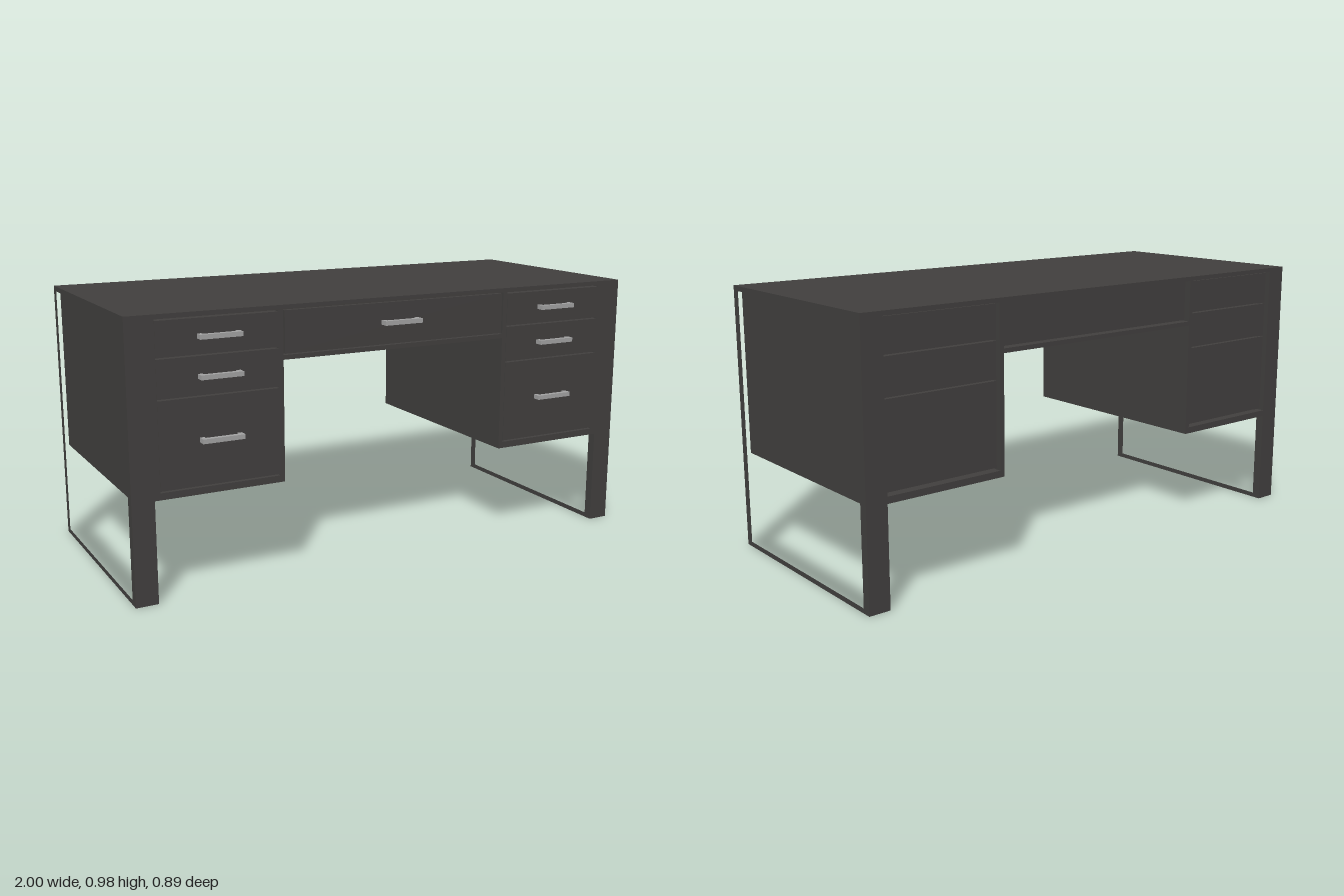
import * as THREE from 'three';

const FRONT = 0.413, BACK = -0.445;
const dark = new THREE.MeshStandardMaterial({ color: 0x403e3d });
const metal = new THREE.MeshStandardMaterial({ color: 0xa0a0a0 });

// Box given by its lower and upper corners
function block(parent, name, [x0, x1], [y0, y1], [z0, z1], material = dark) {
  const mesh = new THREE.Mesh(new THREE.BoxGeometry(x1 - x0, y1 - y0, z1 - z0), material);
  mesh.position.set((x0 + x1) / 2, (y0 + y1) / 2, (z0 + z1) / 2);
  mesh.name = name;
  parent.add(mesh);
  return mesh;
}

// U-shaped pull: a bar on two short stems
function addHandle(parent, x, y) {
  const handle = new THREE.Group();
  handle.name = 'handle';
  block(handle, 'handleBar', [-0.075, 0.075], [-0.008, 0.008], [0.427, 0.445], metal);
  for (const s of [-1, 1]) {
    const c = s * 0.067;
    block(handle, 'handleStem', [c - 0.008, c + 0.008], [-0.008, 0.008], [FRONT, 0.427], metal);
  }
  handle.position.set(x, y, 0);
  parent.add(handle);
}

// Closed rectangular leg frame, extruded across its width
function addLegFrame(parent, side) {
  const outline = new THREE.Shape([[BACK, 0], [FRONT, 0], [FRONT, 0.975], [BACK, 0.975]]
    .map(([z, y]) => new THREE.Vector2(-z, y)));
  outline.holes.push(new THREE.Path([[-0.412, 0.018], [0.38, 0.018], [0.38, 0.957], [-0.412, 0.957]]
    .map(([z, y]) => new THREE.Vector2(-z, y))));
  const geometry = new THREE.ExtrudeGeometry(outline, { depth: 0.08, bevelEnabled: false });
  geometry.rotateY(Math.PI / 2);
  const frame = new THREE.Mesh(geometry, dark);
  frame.position.x = side > 0 ? 0.92 : -1;
  frame.name = 'legFrame';
  parent.add(frame);
}

// Drawer stack: lower edge, upper edge, handle height
const drawers = [[0.39, 0.693, 0.548], [0.698, 0.829, 0.762], [0.834, 0.954, 0.895]];

function addPedestal(parent, side) {
  const pedestal = new THREE.Group();
  pedestal.name = side > 0 ? 'leftPedestal' : 'rightPedestal';
  const span = (a, b) => (side > 0 ? [a, b] : [-b, -a]);
  // Carcass
  block(pedestal, 'innerPanel', span(0.45, 0.468), [0.36, 0.96], [BACK, FRONT]);
  block(pedestal, 'outerPanel', span(0.9, 0.985), [0.36, 0.957], [-0.412, 0.38]);
  block(pedestal, 'frontStile', span(0.9, 0.92), [0.36, 0.96], [0.38, FRONT]);
  block(pedestal, 'bottomPanel', span(0.468, 0.92), [0.36, 0.384], [BACK, 0.38]);
  block(pedestal, 'bottomEdge', span(0.468, 0.9), [0.36, 0.384], [0.38, FRONT]);
  // Drawers with narrow gaps between them
  for (const [y0, y1, handleY] of drawers) {
    block(pedestal, 'drawer', span(0.468, 0.9), [y0, y1], [-0.425, 0.415]);
    block(pedestal, 'drawerBackEdge', span(0.9, 0.92), [y0, y1], [-0.425, -0.412]);
    addHandle(pedestal, side * 0.683, handleY);
  }
  parent.add(pedestal);
}

export function createModel() {
  const desk = new THREE.Group();
  desk.name = 'desk';
  block(desk, 'top', [-0.92, 0.92], [0.959, 0.975], [BACK, FRONT]);
  for (const side of [-1, 1]) {
    addLegFrame(desk, side);
    addPedestal(desk, side);
  }
  // Middle drawer on its shelf
  block(desk, 'middleShelf', [-0.45, 0.45], [0.788, 0.804], [BACK, FRONT]);
  block(desk, 'middleDrawer', [-0.444, 0.444], [0.808, 0.956], [-0.425, FRONT]);
  addHandle(desk, 0.005, 0.887);
  return desk;
}
